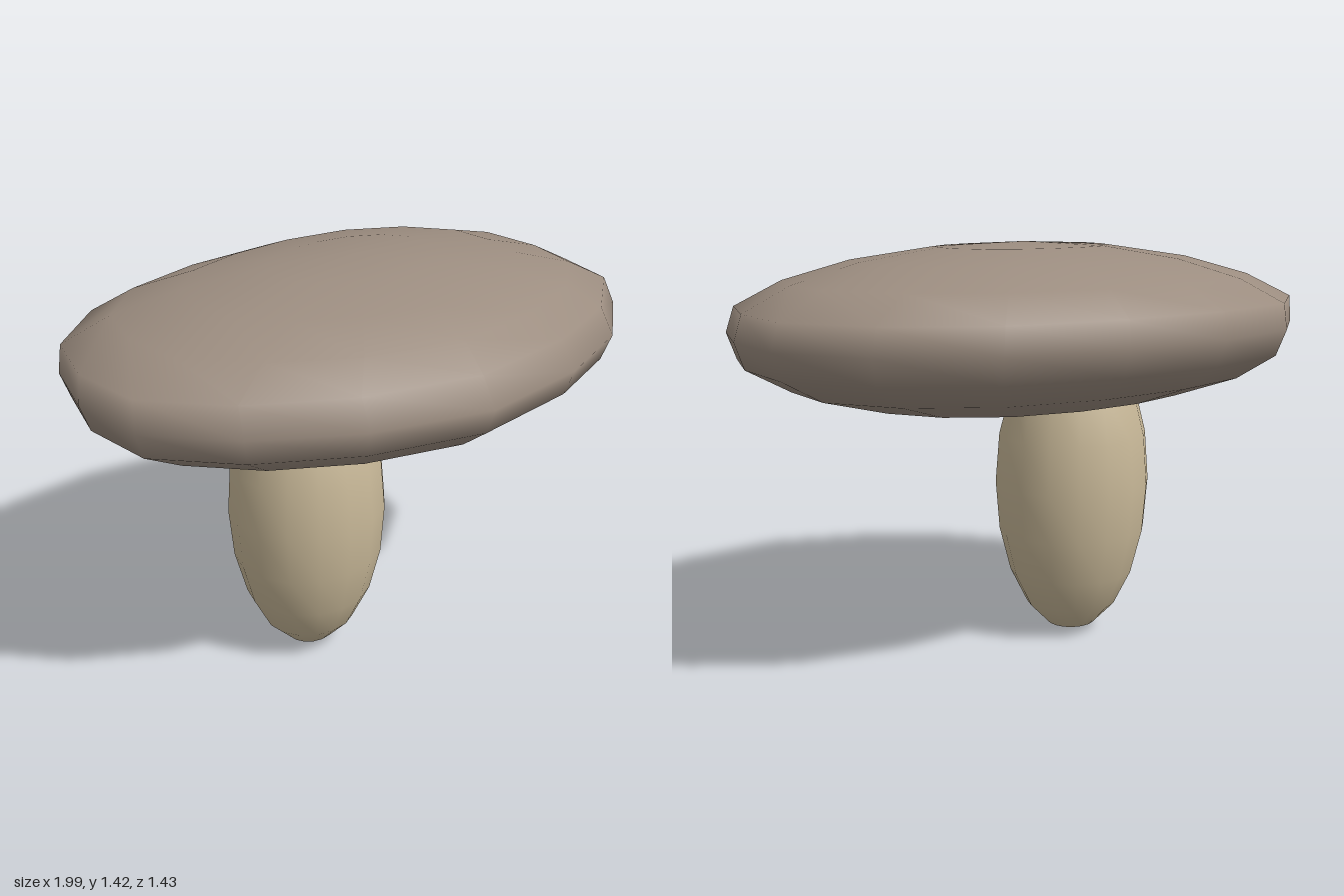
import * as THREE from 'three';
import { mergeVertices } from 'three/addons/utils/BufferGeometryUtils.js';

const SIDES = 16, RINGS = 10;

// Plan outlines at the widest ring, as [x, z], from -x round through +z
const CAP_OUTLINE = [
  [-0.99, -0.02], [-0.94, 0.25], [-0.71, 0.465], [-0.39, 0.625],
  [0, 0.71], [0.4, 0.63], [0.72, 0.48], [0.96, 0.25],
  [1, -0.02], [0.96, -0.3], [0.74, -0.54], [0.4, -0.69],
  [0, -0.72], [-0.39, -0.66], [-0.73, -0.53], [-0.94, -0.29],
];
const STEM_OUTLINE = CAP_OUTLINE.map((_, i) => {
  const a = (i / SIDES) * Math.PI * 2;
  return [-0.205 - 0.28 * Math.cos(a), -0.01 + 0.265 * Math.sin(a)];
});

// Low-sided ellipsoid with a hand-shaped outline and optional ring bulge
function blob(name, material, outline, cx, cz, cy, ry, bulge = () => [1, 0]) {
  const geo = new THREE.SphereGeometry(1, SIDES, RINGS);
  const pos = geo.attributes.position;
  for (let i = 0; i < pos.count; i++) {
    const column = i % (SIDES + 1) % SIDES;
    const ring = Math.floor(i / (SIDES + 1));
    const angle = (ring / RINGS) * Math.PI;
    const r = ring % RINGS === 0 ? 0 : Math.sin(angle);
    const [scale, shift] = bulge(ring);
    const [x, z] = outline[column];
    pos.setXYZ(i, cx + (x - cx) * r * scale, cy + ry * Math.cos(angle), cz + (z - cz) * r + shift);
  }
  // Weld the seam and poles so the shading stays smooth
  geo.deleteAttribute('uv');
  geo.deleteAttribute('normal');
  const welded = mergeVertices(geo);
  welded.computeVertexNormals();
  const mesh = new THREE.Mesh(welded, material);
  mesh.name = name;
  return mesh;
}

export function createModel() {
  const capBrown = new THREE.MeshStandardMaterial({ color: 0x9c8d80 });
  capBrown.name = 'cap brown';
  const stemCream = new THREE.MeshStandardMaterial({ color: 0xc8b898 });
  stemCream.name = 'stem cream';

  const group = new THREE.Group();
  group.name = 'mushroom';

  // Wide flattened cap, its rim swelling a little toward the back
  const rim = { 3: [1.01, -0.01], 4: [1.03, -0.025], 6: [1.02, 0], 7: [1.02, 0] };
  group.add(blob('cap', capBrown, CAP_OUTLINE, 0, -0.02, 1.136, 0.287, (ring) => rim[ring] || [1, 0]));

  // Egg-shaped stem, set off centre with its top inside the cap
  group.add(blob('stem', stemCream, STEM_OUTLINE, -0.205, -0.01, 0.565, 0.565));
  return group;
}
